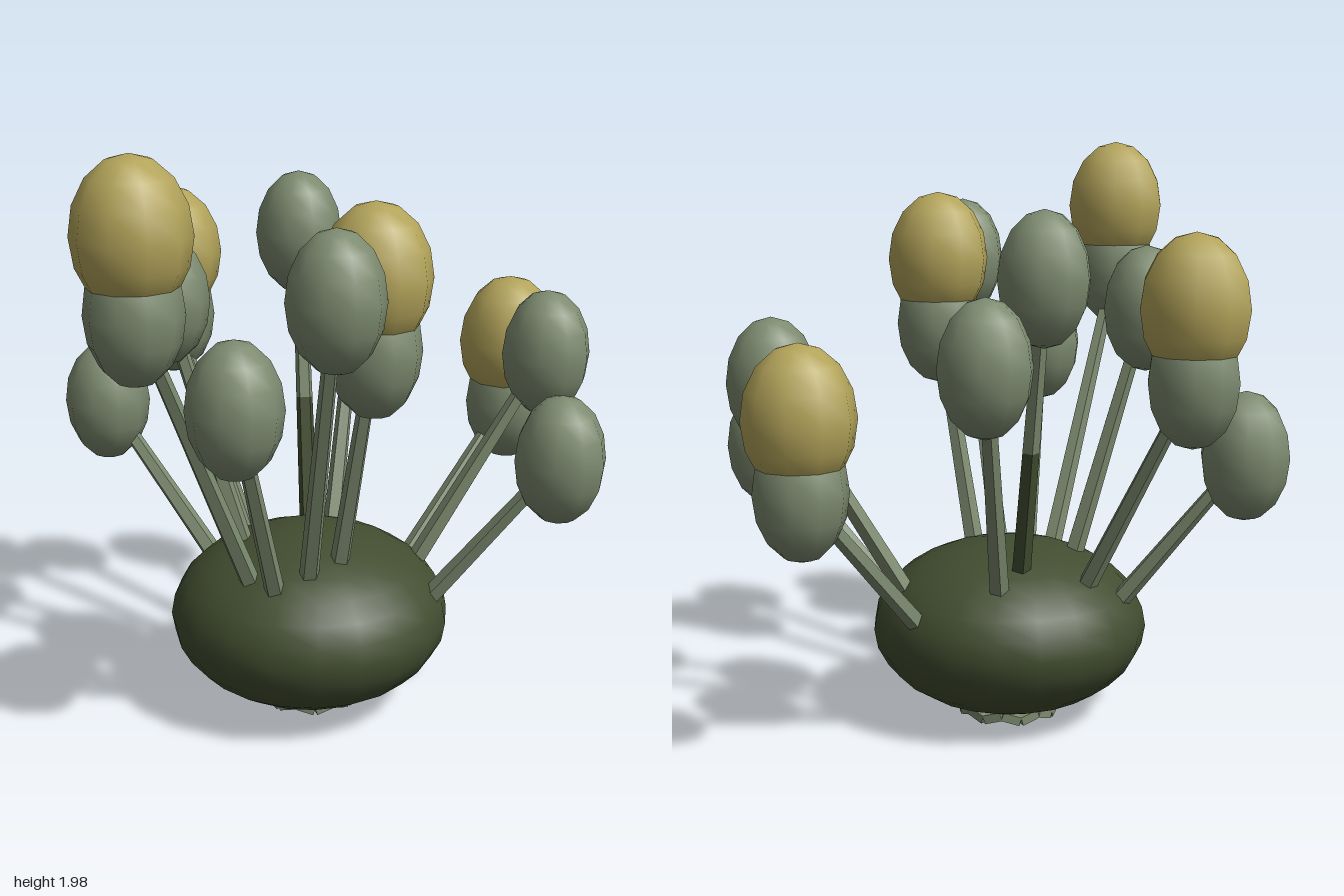
import * as THREE from 'three';

const mat = (name, color) => {
  const m = new THREE.MeshStandardMaterial({ color });
  m.name = name;
  return m;
};

export function createModel() {
  const sage = mat('sage green', 0x7d8b70);
  const moss = mat('dark moss', 0x424d30);
  const ochre = mat('ochre', 0xb3a45a);
  const group = new THREE.Group();
  const centre = new THREE.Vector3(-0.065, 0.327, 0.04);

  const add = (name, geometry, material, position, parent = group) => {
    const mesh = new THREE.Mesh(geometry, material);
    mesh.name = name;
    mesh.position.copy(position);
    parent.add(mesh);
    return mesh;
  };

  // Squashed round body
  add('body', new THREE.SphereGeometry(1, 20, 14).scale(0.475, 0.297, 0.475), moss, centre);

  // Ragged ring of root stubs under the body
  const stub = new THREE.BoxGeometry(0.065, 0.03, 0.04);
  const roots = new THREE.Group();
  roots.name = 'roots';
  group.add(roots);
  for (let i = 0; i < 16; i++) {
    const a = (i / 16) * Math.PI * 2;
    const p = new THREE.Vector3(-0.06 + Math.cos(a) * 0.152, 0.03, 0.038 + Math.sin(a) * 0.152);
    const root = add('root', stub, sage, p, roots);
    root.rotation.set(0, -a + Math.PI / 2, (i % 2 ? 1 : -1) * 0.3);
  }

  // Tapered, faceted stem between two points
  const up = new THREE.Vector3(0, 1, 0);
  const addStem = (name, from, to, r0, r1, material, parent) => {
    const dir = to.clone().sub(from);
    const geo = new THREE.CylinderGeometry(r1, r0, dir.length(), 5).toNonIndexed();
    geo.computeVertexNormals();
    const mid = from.clone().add(to).multiplyScalar(0.5);
    add(name, geo, material, mid, parent).quaternion.setFromUnitVectors(up, dir.normalize());
  };

  const podGeo = new THREE.SphereGeometry(1, 10, 8).scale(0.149, 0.215, 0.149);
  const capGeo = new THREE.SphereGeometry(1, 10, 8).scale(0.178, 0.234, 0.178);

  // Stem foot, pod centre, and whether the pod wears a cap
  const stalks = [
    [[-0.2, 0.46, -0.35], [-0.38, 0.97, -0.71], false],
    [[-0.08, 0.53, -0.3], [-0.1, 1.245, -0.695], true],
    [[-0.23, 0.56, -0.11], [-0.42, 1.42, -0.27], false],
    [[0.08, 0.57, -0.14], [0.195, 1.56, -0.335], false],
    [[0.2, 0.53, -0.15], [0.47, 1.31, -0.34], false],
    [[0.36, 0.41, 0.065], [0.825, 0.925, 0.095], true],
    [[-0.36, 0.52, 0.1], [-0.83, 1.52, 0.185], true],
    [[-0.34, 0.52, 0.2], [-0.615, 1.235, 0.37], false],
    [[-0.23, 0.56, 0.24], [-0.39, 1.56, 0.56], false],
    [[-0.1, 0.57, 0.24], [-0.13, 1.345, 0.435], true],
    [[0.27, 0.47, 0.21], [0.635, 1.21, 0.445], false],
    [[0.18, 0.42, 0.38], [0.43, 0.945, 0.71], false],
  ];
  stalks.forEach(([f, p, capped], i) => {
    const stalk = new THREE.Group();
    stalk.name = 'stalk';
    group.add(stalk);
    const foot = new THREE.Vector3(...f);
    const top = new THREE.Vector3(...p);
    // One stalk has a dark lower stem
    if (i === 3) {
      const joint = foot.clone().lerp(top, 0.43);
      addStem('lowerStem', foot, joint, 0.034, 0.03, moss, stalk);
      addStem('stem', joint, top, 0.03, 0.024, sage, stalk);
    } else {
      addStem('stem', foot, top, 0.034, 0.024, sage, stalk);
    }
    add('pod', podGeo, sage, top, stalk);
    if (capped) {
      add('cap', capGeo, ochre, top.clone().add(new THREE.Vector3(0, 0.228, 0)), stalk);
    }
  });

  return group;
}
